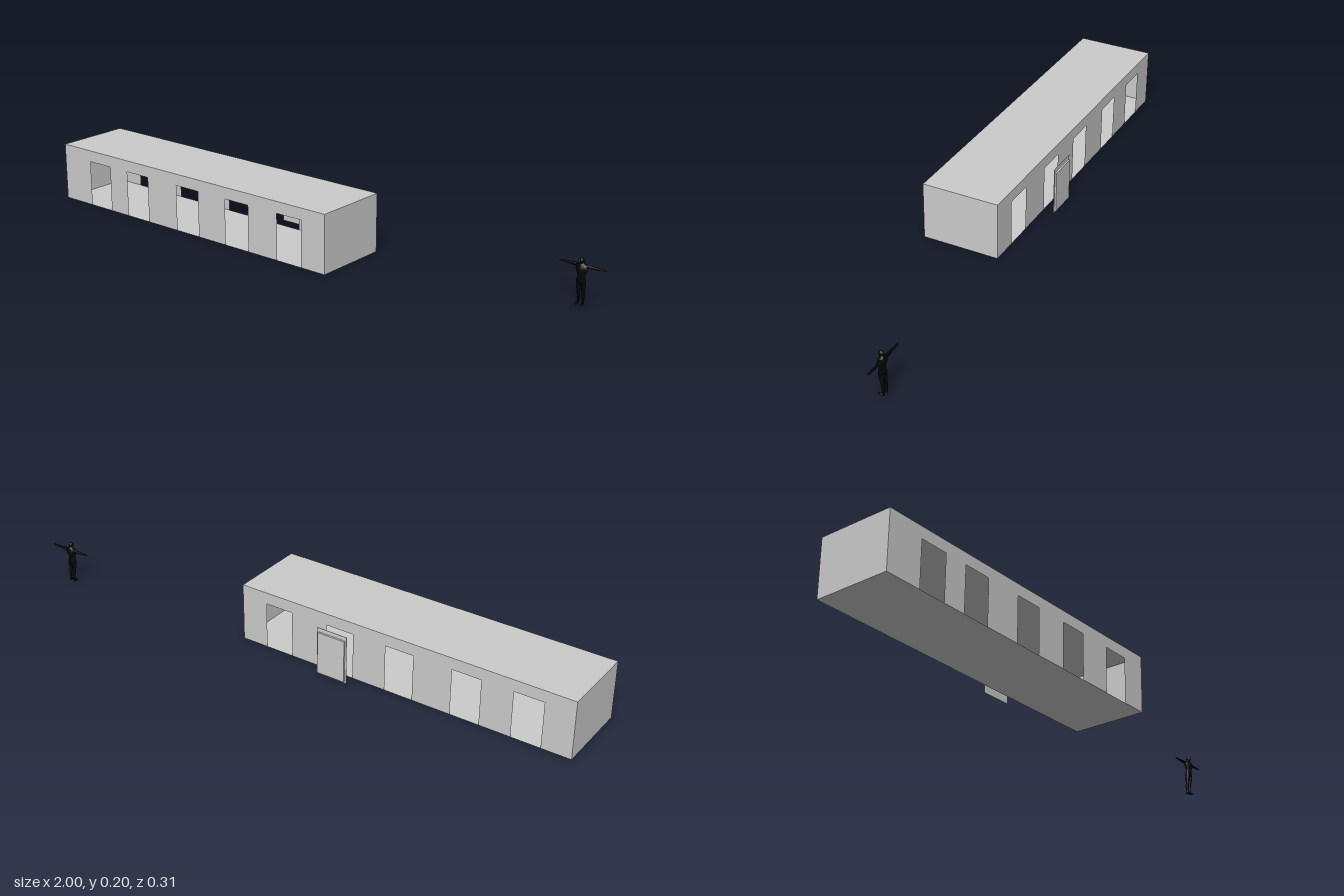
import * as THREE from 'three';

const grey = new THREE.MeshStandardMaterial({ color: 0xcccccc, side: THREE.DoubleSide });
const black = new THREE.MeshStandardMaterial({ color: 0x050505 });

// Hall extents
const X0 = -1, X1 = 0.19, H = 0.2, Z0 = -0.11, Z1 = 0.157, DOOR_H = 0.16, DOOR_W = 0.1;

function add(parent, name, geometry, material, x = 0, y = 0, z = 0) {
  const mesh = new THREE.Mesh(geometry, material);
  mesh.name = name;
  mesh.position.set(x, y, z);
  parent.add(mesh);
  return mesh;
}

// Thin wall with doorways notched out of its lower edge
function wallGeometry(doors) {
  const s = new THREE.Shape();
  s.moveTo(X0, 0);
  for (const x of doors) {
    s.lineTo(x, 0);
    s.lineTo(x, DOOR_H);
    s.lineTo(x + DOOR_W, DOOR_H);
    s.lineTo(x + DOOR_W, 0);
  }
  s.lineTo(X1, 0);
  s.lineTo(X1, H);
  s.lineTo(X0, H);
  return new THREE.ShapeGeometry(s);
}

// Elliptical sections [x, y, z, rx, rz] stacked from top to bottom
function loft(sections, sides = 12) {
  const g = new THREE.CylinderGeometry(1, 1, 1, sides, sections.length - 1);
  const p = g.attributes.position;
  const last = sections.length - 1;
  for (let i = 0; i < p.count; i++) {
    const [x, y, z, rx, rz] = sections[Math.round((0.5 - p.getY(i)) * last)];
    p.setXYZ(i, x + p.getX(i) * rx, y, z + p.getZ(i) * rz);
  }
  g.computeVertexNormals();
  return g;
}

function createHall() {
  const hall = new THREE.Group();
  hall.name = 'hall';
  const cx = (X0 + X1) / 2, cz = (Z0 + Z1) / 2, w = X1 - X0, d = Z1 - Z0;
  add(hall, 'frontWall', wallGeometry([-0.87, -0.685, -0.449, -0.228, -0.005]), grey, 0, 0, Z1);
  add(hall, 'backWall', wallGeometry([-0.9, -0.692, -0.457, -0.238, -0.005]), grey, 0, 0, Z0);
  for (const [name, y] of [['floor', 0], ['roof', H]]) {
    add(hall, name, new THREE.PlaneGeometry(w, d).rotateX(-Math.PI / 2), grey, cx, y, cz);
  }
  for (const [name, x] of [['rightEndWall', X0], ['leftEndWall', X1]]) {
    add(hall, name, new THREE.PlaneGeometry(d, H).rotateY(Math.PI / 2), grey, x, H / 2, cz);
  }
  return hall;
}

function createDoor() {
  const door = new THREE.Group();
  door.name = 'door';
  add(door, 'doorBackplate', new THREE.BoxGeometry(0.112, 0.168, 0.001), grey, -0.185, 0.085, -0.1495);
  add(door, 'doorPanel', new THREE.BoxGeometry(0.1, 0.147, 0.006), grey, -0.185, 0.081, -0.153);
  return door;
}

function createFigure() {
  const figure = new THREE.Group();
  figure.name = 'standingFigure';
  figure.position.set(0.922, 0, 0);

  add(figure, 'head', new THREE.SphereGeometry(1, 16, 12).scale(0.0065, 0.0095, 0.0085), black, 0, 0.14, -0.14);
  add(figure, 'torso', loft([
    [0, 0.136, -0.142, 0.005, 0.005],
    [0, 0.13, -0.143, 0.008, 0.007],
    [0, 0.126, -0.143, 0.02, 0.01],
    [0, 0.115, -0.142, 0.02, 0.0125],
    [0, 0.1, -0.141, 0.014, 0.0095],
    [0, 0.09, -0.141, 0.013, 0.008],
    [0, 0.08, -0.142, 0.0155, 0.0095],
    [0, 0.07, -0.143, 0.014, 0.008]
  ], 16), black);

  for (const [side, s] of [['left', 1], ['right', -1]]) {
    add(figure, side + 'Leg', loft([
      [s * 0.0075, 0.078, -0.142, 0.008, 0.0095],
      [s * 0.008, 0.06, -0.142, 0.0072, 0.008],
      [s * 0.008, 0.042, -0.144, 0.005, 0.0055],
      [s * 0.008, 0.031, -0.1465, 0.0053, 0.0055],
      [s * 0.008, 0.012, -0.146, 0.003, 0.0035],
      [s * 0.008, 0.002, -0.146, 0.0035, 0.0045]
    ]), black);
    add(figure, side + 'Foot', new THREE.SphereGeometry(1, 12, 8).scale(0.004, 0.0035, 0.0105),
      black, s * 0.0085, 0.0035, -0.1395);

    // Arm is lofted upright, then swung out level from the shoulder
    const arm = loft([
      [0, 0, 0, 0.006, 0.006],
      [0, -0.012, 0, 0.0055, 0.0055],
      [0, -0.027, 0, 0.004, 0.004],
      [0, -0.035, 0, 0.0042, 0.0042],
      [0, -0.049, 0, 0.0025, 0.003],
      [0, -0.056, 0, 0.0025, 0.0045],
      [0, -0.064, 0, 0.001, 0.002]
    ]).rotateZ(s * Math.PI / 2);
    add(figure, side + 'Arm', arm, black, s * 0.014, 0.123, -0.146);
  }
  return figure;
}

export function createModel() {
  const model = new THREE.Group();
  model.name = 'hallWithFigure';
  model.add(createHall(), createDoor(), createFigure());
  return model;
}
